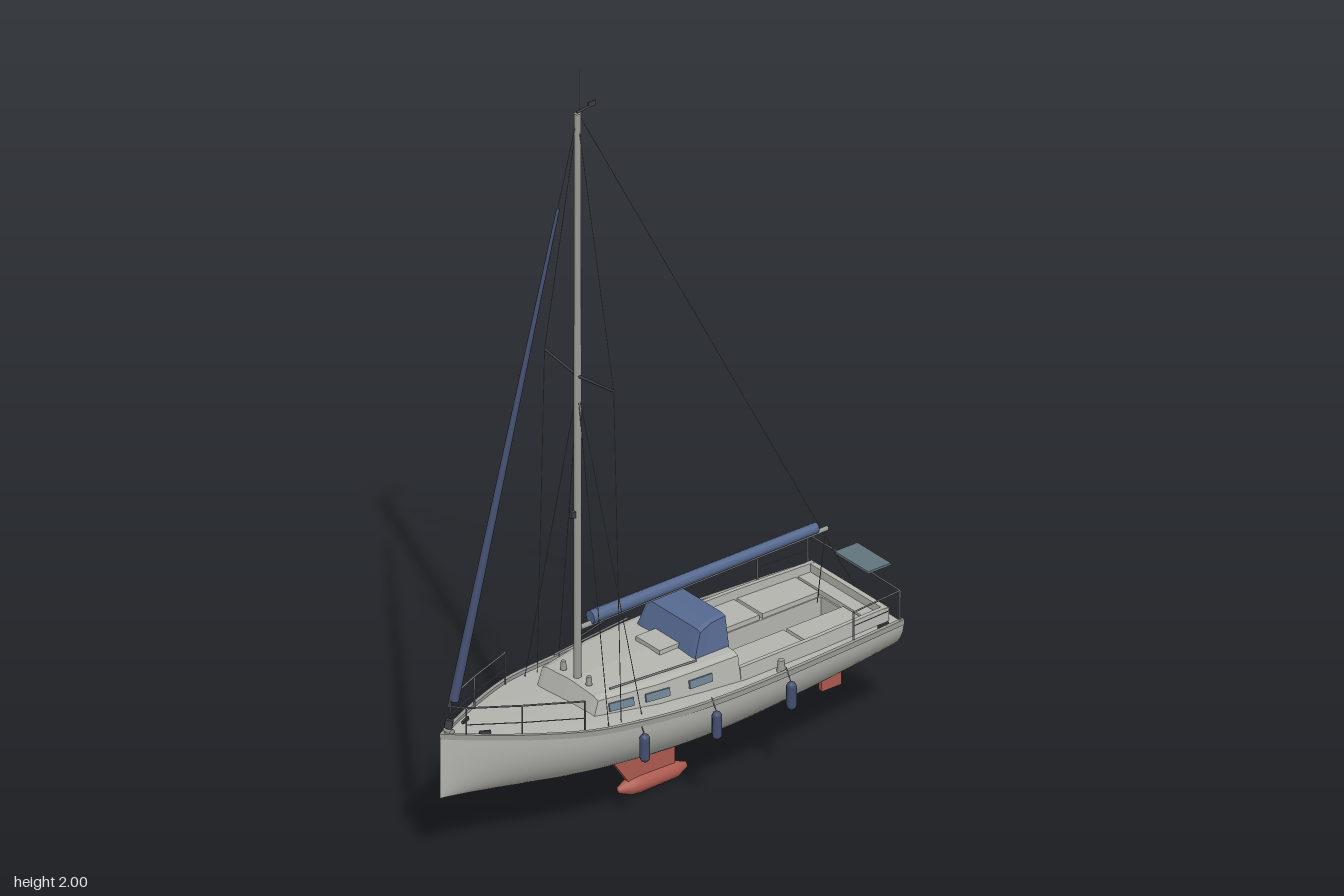
import * as THREE from 'three';

const mat = (name, color) => new THREE.MeshStandardMaterial({ name, color, side: THREE.DoubleSide });
const V = (x, y, z) => new THREE.Vector3(x, y, z);

// Hull rules: sheer (deck edge) height and keel line height along z
const sheer = z => 0.302 + 0.05 * (Math.max(0, z + 0.1) / 0.745) ** 2;
const keelLine = z => 0.135 + 0.05 * (Math.abs(z) / 0.62) ** 1.7;
const stations = new THREE.SplineCurve([[-0.604, 0.177], [-0.4, 0.192], [-0.15, 0.205], [0.05, 0.202],
  [0.2, 0.186], [0.32, 0.163], [0.45, 0.108], [0.56, 0.05], [0.645, 0]]
  .map(p => new THREE.Vector2(...p))).getPoints(40).map(p => ({ z: p.x, w: Math.max(p.y, 0) }));

// Skin over cross-sections of equal point count
function loft(sections, { closed = false, caps = false, flat = true } = {}) {
  const n = sections[0].length, index = [];
  for (let i = 0; i < sections.length - 1; i++) {
    for (let j = 0; j < (closed ? n : n - 1); j++) {
      const a = i * n + j, b = i * n + (j + 1) % n;
      index.push(a, b, a + n, b, b + n, a + n);
    }
  }
  if (caps) {
    const last = (sections.length - 1) * n;
    for (let j = 1; j < n - 1; j++) index.push(0, j + 1, j, last, last + j, last + j + 1);
  }
  let g = new THREE.BufferGeometry();
  g.setAttribute('position', new THREE.Float32BufferAttribute(sections.flat(2), 3));
  g.setIndex(index);
  if (flat) g = g.toNonIndexed();
  g.computeVertexNormals();
  return g;
}

export function createModel() {
  const model = new THREE.Group();
  const boat = new THREE.Group();
  boat.name = 'sailboat';
  boat.position.x = -0.014;
  model.add(boat);

  const white = mat('hull grey', 0xb4b4af), metal = mat('spar grey', 0x9a9a96), dark = mat('dark fittings', 0x3c3f45);
  const wire = mat('rigging grey', 0x74767a), blue = mat('canvas blue', 0x55688f), navy = mat('sail cover navy', 0x434f70);
  const red = mat('antifouling red', 0xac5a50), glass = mat('window glass', 0x6d8494), panel = mat('solar panel', 0x62757d);

  const add = (name, geo, m, x = 0, y = 0, z = 0) => {
    const mesh = new THREE.Mesh(geo, m);
    mesh.name = name;
    mesh.position.set(x, y, z);
    boat.add(mesh);
    return mesh;
  };
  const box = (name, w, h, d, m, x, y, z) => add(name, new THREE.BoxGeometry(w, h, d), m, x, y, z);
  const rod = (name, a, b, m, r1, r2 = r1, sides = 6) => {
    const d = b.clone().sub(a), mid = a.clone().add(b).multiplyScalar(0.5);
    const mesh = add(name, new THREE.CylinderGeometry(r2, r1, d.length(), sides), m, mid.x, mid.y, mid.z);
    mesh.quaternion.setFromUnitVectors(V(0, 1, 0), d.normalize());
    return mesh;
  };
  const chain = (name, pts, m, r) => pts.slice(1).forEach((p, i) => rod(name, pts[i], p, m, r));

  // Hull shell and transom
  const ring = ({ z, w }) => Array.from({ length: 25 }, (_, j) => {
    const a = (j / 24 - 0.5) * Math.PI;
    return [w * Math.sin(a), sheer(z) - (sheer(z) - keelLine(z)) * Math.cos(a), z];
  });
  add('hull', loft(stations.map(ring), { flat: false }), white);
  const transom = new THREE.Shape(ring(stations[0]).map(p => new THREE.Vector2(p[0], p[1])));
  add('transom', new THREE.ShapeGeometry(transom).rotateY(Math.PI).translate(0, 0, stations[0].z), white);

  // Deck with an opening for the cockpit well
  const outline = [...stations.map(s => new THREE.Vector2(s.w, -s.z)),
    ...stations.slice(0, -1).reverse().map(s => new THREE.Vector2(-s.w, -s.z))];
  const deckShape = new THREE.Shape(outline);
  deckShape.holes.push(new THREE.Path([[-0.043, 0.13], [0.043, 0.13], [0.043, 0.53], [-0.043, 0.53]]
    .map(p => new THREE.Vector2(...p))));
  const deck = new THREE.ShapeGeometry(deckShape).rotateX(-Math.PI / 2), dp = deck.attributes.position;
  for (let i = 0; i < dp.count; i++) dp.setY(i, sheer(dp.getZ(i)));
  deck.computeVertexNormals();
  add('deck', deck, white);

  // Cockpit: well, benches, companionway
  box('cockpitFloor', 0.09, 0.005, 0.4, white, 0, 0.235, -0.33);
  for (const z of [-0.13, -0.532]) box('wellEnd', 0.09, 0.068, 0.004, white, 0, 0.268, z);
  box('aftBench', 0.28, 0.014, 0.042, white, 0, 0.308, -0.555);
  box('companionwayDoor', 0.07, 0.09, 0.006, metal, 0, 0.315, -0.133);

  // Cabin trunk
  const cabin = [[0.28, 0.112, 0.298, 0.308], [0.255, 0.117, 0.298, 0.366], [0.1, 0.148, 0.298, 0.37],
    [-0.02, 0.157, 0.295, 0.373], [-0.13, 0.16, 0.295, 0.373]];
  add('cabin', loft(cabin.map(([z, w, b, t]) => [[-w, b, z], [-w + 0.012, t - 0.006, z], [-w + 0.028, t, z],
    [0, t + 0.006, z], [w - 0.028, t, z], [w - 0.012, t - 0.006, z], [w, b, z]]), { closed: true, caps: true }), white);
  box('slidingHatch', 0.09, 0.012, 0.15, white, 0, 0.382, -0.052);

  for (const s of [-1, 1]) {
    // Toe rail along the deck edge
    add('toeRail', loft(stations.map(({ z, w }) => {
      const o = s * (w + 0.002), i = s * Math.max(w - 0.008, 0), y = sheer(z);
      return [[i, y, z], [i, y + 0.01, z], [o, y + 0.01, z], [o, y - 0.004, z]];
    }), { closed: true }), metal);

    // Well sides, benches and coamings
    box('wellSide', 0.004, 0.068, 0.4, white, s * 0.044, 0.268, -0.33);
    box('frontBench', 0.098, 0.014, 0.212, white, s * 0.094, 0.308, -0.242);
    box('aftSideBench', 0.098, 0.014, 0.17, white, s * 0.094, 0.308, -0.442);
    add('coaming', loft([[-0.13, 0.16], [-0.36, 0.157], [-0.582, 0.147]].map(([z, w]) =>
      [[s * w, 0.3, z], [s * (w - 0.004), 0.337, z], [s * (w - 0.015), 0.337, z], [s * (w - 0.017), 0.3, z]]),
      { closed: true, caps: true }), white);

    // Cabin windows and handrail
    for (const [z, x, turn] of [[0.2, 0.124, 0.186], [0.105, 0.141, 0.15], [-0.015, 0.152, 0.05]]) {
      const win = box('window', 0.005, 0.02, 0.065, glass, s * x, 0.34, z);
      win.rotation.set(0, -s * turn, s * 0.16);
    }
    rod('cabinHandrail', V(s * 0.105, 0.381, 0.22), V(s * 0.13, 0.384, -0.02), wire, 0.003);

    // Winches and cleats
    add('cockpitWinch', new THREE.CylinderGeometry(0.008, 0.011, 0.03, 12), metal, s * 0.178, 0.317, -0.235);
    add('mastWinch', new THREE.CylinderGeometry(0.006, 0.008, 0.022, 10), metal, s * 0.048, 0.384, 0.237);
    box('sternCleat', 0.006, 0.01, 0.03, dark, s * 0.167, 0.309, -0.55);
    const cleat = box('bowCleat', 0.006, 0.01, 0.028, dark, s * 0.037, sheer(0.54) + 0.006, 0.54);
    cleat.rotation.y = -s * 0.45;

    // Bow and stern rails
    const rail = [V(s * 0.15, 0.405, 0.33), V(s * 0.09, 0.416, 0.47), V(s * 0.03, 0.425, 0.59), V(0, 0.427, 0.62)];
    chain('bowRail', rail, wire, 0.0022);
    chain('bowMidRail', rail.slice(0, 3).map(p => p.clone().setY(p.y - 0.045)), wire, 0.0013);
    rail.slice(0, 3).forEach(p => rod('bowRailPost', V(p.x, sheer(p.z), p.z), p, wire, 0.0022));
    const aft = [V(s * 0.18, 0.385, -0.45), V(s * 0.173, 0.39, -0.595), V(0, 0.39, -0.598)];
    chain('sternRail', aft, wire, 0.0022);
    chain('sternMidRail', aft.slice(0, 2).map(p => p.clone().setY(0.348)), wire, 0.0013);
    aft.slice(0, 2).forEach(p => rod('sternRailPost', V(p.x, 0.302, p.z), p, wire, 0.0025));

    // Spreaders and shrouds
    const tip = V(s * 0.13, 1.193, 0.228), plate = z => V(s * 0.158, sheer(z), z);
    rod('spreader', V(0, 1.18, 0.233), tip, dark, 0.004, 0.003);
    chain('upperShroud', [V(0, 1.875, 0.233), tip, plate(0.228)], wire, 0.001);
    for (const z of [0.165, 0.265]) rod('lowerShroud', V(0, 1.15, 0.233), plate(z), wire, 0.001);
  }
  box('aftCoaming', 0.29, 0.035, 0.014, white, 0, 0.319, -0.577);

  // Spray hood: open at the back
  const hood = [[-0.03, 0.372, 0.11, 0.109], [-0.055, 0.437, 0.11, 0.1], [-0.09, 0.449, 0.11, 0.096], [-0.134, 0.453, 0.11, 0.095]];
  add('sprayHood', loft(hood.map(([z, y, b, t]) => [[-b, 0.368, z], [-t, y - 0.004, z], [-t + 0.012, y, z],
    [t - 0.012, y, z], [t, y - 0.004, z], [b, 0.368, z]])), blue);

  // Mast, masthead gear and steaming light
  const mast = rod('mast', V(0, 0.37, 0.233), V(0, 1.885, 0.233), metal, 0.01, 0.009, 12);
  mast.scale.x = 0.85;
  rod('antenna', V(0, 1.88, 0.228), V(0, 2, 0.228), wire, 0.001);
  rod('windVaneArm', V(0, 1.887, 0.235), V(0, 1.893, 0.19), dark, 0.003);
  box('windVane', 0.004, 0.012, 0.022, dark, 0, 1.896, 0.19);
  box('steamingLight', 0.01, 0.016, 0.012, dark, 0, 0.812, 0.248);

  // Boom with stowed mainsail
  rod('boom', V(0, 0.502, 0.225), V(0, 0.51, -0.515), metal, 0.007, 0.006, 8);
  const cover = rod('mainsailCover', V(0, 0.518, 0.195), V(0, 0.523, -0.482), blue, 0.018, 0.014, 8);
  cover.scale.x = 0.9;
  rod('boomVang', V(0, 0.478, 0.223), V(0, 0.502, 0.12), dark, 0.003);
  rod('mainsheet', V(0, 0.508, -0.51), V(0, 0.32, -0.485), wire, 0.0012);

  // Headstay with furled jib, and backstay
  rod('forestay', V(0, 0.35, 0.627), V(0, 1.88, 0.233), wire, 0.0012);
  rod('furledJib', V(0, 0.437, 0.604), V(0, 1.65, 0.291), navy, 0.0125, 0.004, 8);
  rod('furlerDrum', V(0, 0.37, 0.621), V(0, 0.39, 0.616), dark, 0.01, 0.01, 10);
  rod('backstay', V(0, 1.882, 0.23), V(0, 0.32, -0.6), wire, 0.001);
  const anchorRoller = rod('anchorRoller', V(-0.012, 0.36, 0.618), V(0.012, 0.36, 0.618), metal, 0.009, 0.009, 10);
  anchorRoller.name = 'anchorRoller';

  // Solar panel over the stern
  box('solarPanel', 0.126, 0.006, 0.068, panel, 0.002, 0.393, -0.62);

  // Fenders hung along one side
  for (const [x, z] of [[0.217, -0.235], [0.219, -0.01], [0.199, 0.19]]) {
    add('fender', new THREE.CapsuleGeometry(0.0125, 0.05, 4, 8), navy, x, 0.253, z);
    rod('fenderLine', V(x, 0.285, z), V(x - 0.02, 0.32, z), wire, 0.0012);
  }

  // Fin keel with bulb, and rudder
  const foil = (name, pts, t) => add(name, new THREE.ExtrudeGeometry(
    new THREE.Shape(pts.map(p => new THREE.Vector2(-p[0], p[1]))), { depth: t, bevelEnabled: false })
    .translate(0, 0, -t / 2).rotateY(Math.PI / 2), red);
  foil('finKeel', [[0.165, 0.15], [0.148, 0.132], [0.085, 0.04], [-0.053, 0.04], [-0.053, 0.15]], 0.014);
  foil('rudder', [[-0.483, 0.2], [-0.495, 0.08], [-0.553, 0.08], [-0.556, 0.2]], 0.012);
  const bulb = [[0, -0.095], [0.008, -0.09], [0.022, -0.055], [0.024, 0.05], [0.021, 0.08], [0.008, 0.11], [0, 0.113]];
  add('keelBulb', new THREE.LatheGeometry(bulb.map(p => new THREE.Vector2(...p)), 12).rotateX(Math.PI / 2), red, 0, 0.024, 0);

  return model;
}
